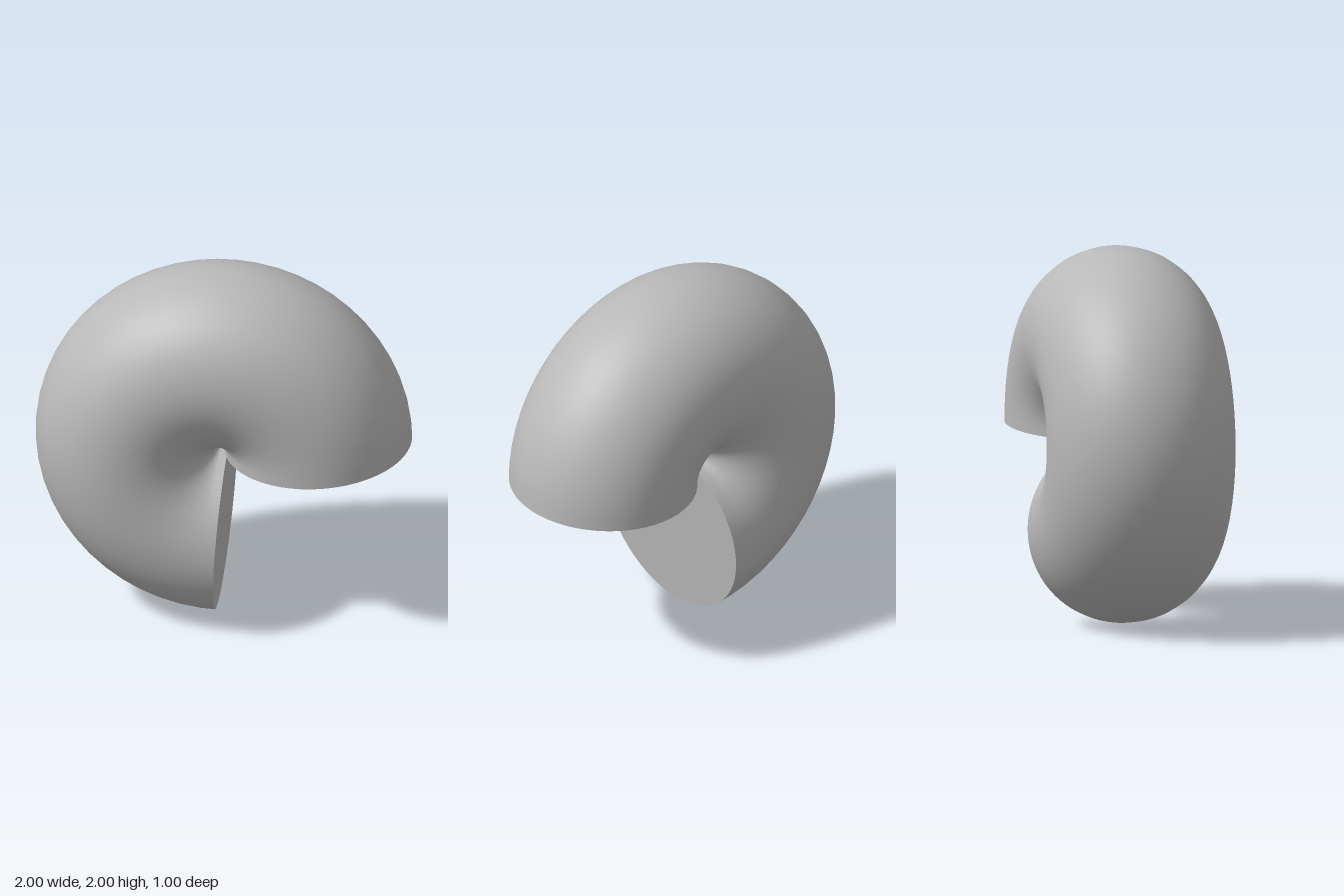
import * as THREE from 'three';

const RING = 0.5;      // radius of the centre line
const TUBE = 0.5;      // radius of the tube
const STEPS = 40;      // segments along the arc
const SIDES = 96;      // segments around the tube
const OVERRUN = THREE.MathUtils.degToRad(0.7); // arc past the three quarters, at each end
const LEAN = THREE.MathUtils.degToRad(3.4);    // slope of the end faces

// Three-quarter ring whose first and last cross-sections lean into the gap
function bentTube(start, arc) {
  const geometry = new THREE.TorusGeometry(RING, TUBE, SIDES, STEPS, arc);
  const { position, normal } = geometry.attributes;
  const axis = new THREE.Vector3(0, 0, 1);
  const p = new THREE.Vector3();
  for (const [step, angle, turn] of [[0, 0, LEAN - start], [STEPS, arc, start - LEAN]]) {
    const centre = new THREE.Vector3(Math.cos(angle), Math.sin(angle), 0).multiplyScalar(RING);
    for (let j = 0; j <= SIDES; j++) {
      const k = j * (STEPS + 1) + step;
      p.fromBufferAttribute(position, k).sub(centre).applyAxisAngle(axis, turn).add(centre);
      position.setXYZ(k, p.x, p.y, p.z);
      p.fromBufferAttribute(normal, k).applyAxisAngle(axis, turn);
      normal.setXYZ(k, p.x, p.y, p.z);
    }
  }
  return geometry.rotateZ(start);
}

// Flat disc closing the tube, facing along the given angle
function endDisc(centreAngle, facing) {
  return new THREE.CircleGeometry(TUBE, SIDES)
    .rotateY(Math.PI / 2)
    .rotateZ(facing)
    .translate(RING * Math.cos(centreAngle), RING * Math.sin(centreAngle), 0);
}

export function createModel() {
  const model = new THREE.Group();
  model.name = 'cutRing';
  const grey = new THREE.MeshStandardMaterial({ color: 0xb8b8b8 });
  grey.name = 'grey';

  const start = -OVERRUN;
  const arc = Math.PI * 1.5 + 2 * OVERRUN;
  const parts = {
    tube: bentTube(start, arc),
    upperEndFace: endDisc(start, LEAN - Math.PI / 2),
    lowerEndFace: endDisc(start + arc, -LEAN),
  };
  for (const [name, geometry] of Object.entries(parts)) {
    const mesh = new THREE.Mesh(geometry, grey);
    mesh.name = name;
    mesh.position.y = 1;
    model.add(mesh);
  }
  return model;
}
